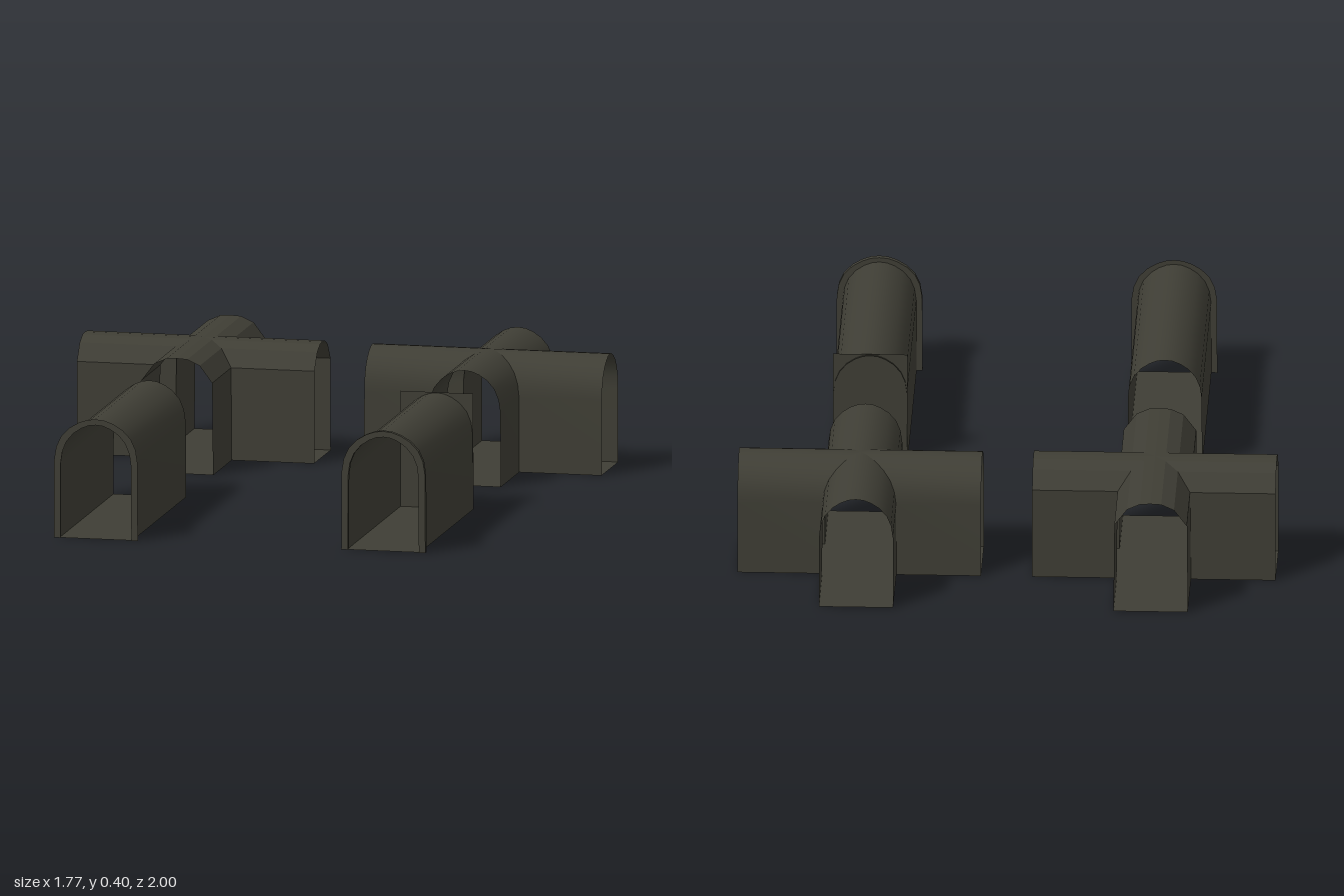
import * as THREE from 'three';

const stone = new THREE.MeshStandardMaterial({ color: 0x3f3e35, side: THREE.DoubleSide });
stone.name = 'dark stone';

const X = 0.484, HALF = 0.122, ARM = 0.4;

// Half arch profiles from the foot to the crown, mirrored into full arches
const mirror = (half) => [
  ...half.map(([u, y]) => [-u, y]),
  ...half.slice(0, -1).reverse(),
];
const roundArch = mirror([[0.122, 0], [0.121, 0.25], [0.115, 0.292], [0.101, 0.326],
  [0.077, 0.354], [0.05, 0.372], [0.025, 0.382], [0, 0.385]]);
const facetArch = mirror([[0.122, 0], [0.119, 0.308], [0.077, 0.364], [0.035, 0.383], [0, 0.385]]);

// Sweep an arch along z; start(u) gives where each profile point begins
function vault(profile, start, end, flat) {
  const pos = [], index = [];
  profile.forEach(([u, y], i) => {
    pos.push(u, y, start(u), u, y, end);
    if (i < profile.length - 1) {
      const a = i * 2;
      index.push(a, a + 1, a + 2, a + 1, a + 3, a + 2);
    }
  });
  let geo = new THREE.BufferGeometry();
  geo.setAttribute('position', new THREE.Float32BufferAttribute(pos, 3));
  geo.setIndex(index);
  if (flat) geo = geo.toNonIndexed();
  geo.computeVertexNormals();
  return geo;
}

function add(group, name, geo, x = 0, y = 0, z = 0) {
  const mesh = new THREE.Mesh(geo, stone);
  mesh.name = name;
  mesh.position.set(x, y, z);
  group.add(mesh);
  return mesh;
}

function floor(group, w, d, x = 0, z = 0) {
  add(group, 'floor', new THREE.PlaneGeometry(w, d).rotateX(-Math.PI / 2), x, 0.001, z);
}

// Crossing: four vaulted arms mitred along the diagonals
function crossing(name, profile, flat) {
  const g = new THREE.Group();
  g.name = name;
  for (let i = 0; i < 4; i++) {
    add(g, 'vaultedArm', vault(profile, (u) => Math.abs(u), ARM, flat)).rotation.y = i * Math.PI / 2;
  }
  floor(g, HALF * 2, ARM * 2);
  const side = ARM - HALF;
  for (const s of [-1, 1]) floor(g, side, HALF * 2, s * (HALF + side / 2));
  return g;
}

// Rim shape: enlarged arch outline with the arch opening cut out
function rimShape() {
  const outer = roundArch.map(([u, y]) => new THREE.Vector2(u * 1.16, y * 1.04));
  const inner = roundArch.map(([u, y]) => new THREE.Vector2(u * 0.98, y * 0.99));
  return new THREE.Shape([...outer, ...inner.reverse()]);
}

// Straight tunnel with its floor
function tunnel(name) {
  const g = new THREE.Group();
  g.name = name;
  add(g, 'vault', vault(roundArch, () => -ARM, ARM, false));
  floor(g, HALF * 2, ARM * 2);
  return g;
}

export function createModel() {
  const model = new THREE.Group();
  model.name = 'tunnelSet';

  const openTunnel = tunnel('openTunnel');
  add(openTunnel, 'flatRim', new THREE.ShapeGeometry(rimShape()), 0, 0, ARM);
  openTunnel.position.set(-X, 0, 0.6);

  // Closed tunnel: thick front rim and a square wall near the back
  const closedTunnel = tunnel('closedTunnel');
  add(closedTunnel, 'thickRim',
    new THREE.ExtrudeGeometry(rimShape(), { depth: 0.018, bevelEnabled: false }), 0, 0, ARM - 0.018);
  add(closedTunnel, 'endWall', new THREE.PlaneGeometry(HALF * 2, 0.387), 0, 0.1935, -ARM + 0.008);
  closedTunnel.position.set(X, 0, 0.6);

  const facetCrossing = crossing('facetedCrossing', facetArch, true);
  facetCrossing.position.set(-X, 0, -0.6);
  const roundCrossing = crossing('roundCrossing', roundArch, false);
  roundCrossing.position.set(X, 0, -0.6);

  model.add(openTunnel, closedTunnel, facetCrossing, roundCrossing);
  return model;
}
